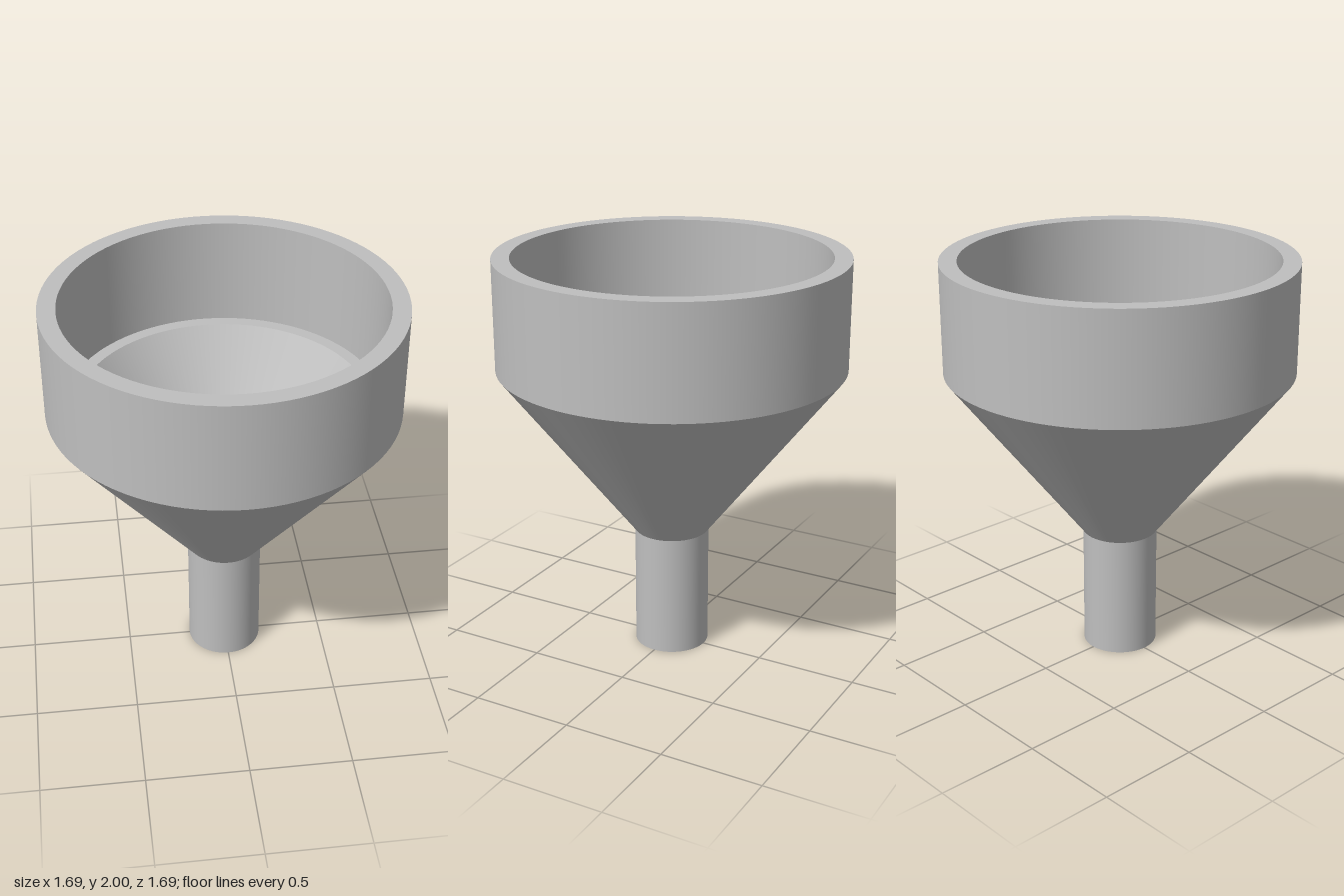
import * as THREE from 'three';

export function createModel() {
  const model = new THREE.Group();
  model.name = 'funnel';

  const greyPlastic = new THREE.MeshStandardMaterial({ color: 0xbfbfbf });
  greyPlastic.name = 'grey plastic';

  // Levels where the spout meets the cone and the cone meets the cup
  const neckY = 0.613, cupY = 1.463, topY = 2;
  // Outer and bore radii
  const cupR = 0.843, cupBoreR = 0.757, coneBoreR = 0.695;
  const spoutR = 0.183, spoutBoreR = 0.098;

  // One surface of revolution between two [radius, height] points; separate surfaces keep edges sharp
  function addBand(name, from, to) {
    const profile = [new THREE.Vector2(...from), new THREE.Vector2(...to)];
    const mesh = new THREE.Mesh(new THREE.LatheGeometry(profile, 96), greyPlastic);
    mesh.name = name;
    model.add(mesh);
  }

  // Outside, from the spout tip up to the rim
  addBand('spoutTip', [spoutBoreR, 0], [spoutR, 0]);
  addBand('spoutOuterWall', [spoutR, 0], [spoutR, neckY]);
  addBand('coneOuterWall', [spoutR, neckY], [cupR, cupY]);
  addBand('cupOuterWall', [cupR, cupY], [cupR, topY]);
  addBand('cupRim', [cupR, topY], [cupBoreR, topY]);

  // Inside, from the rim down through the bore
  addBand('cupInnerWall', [cupBoreR, topY], [cupBoreR, cupY]);
  addBand('innerLedge', [cupBoreR, cupY], [coneBoreR, cupY]);
  addBand('coneInnerWall', [coneBoreR, cupY], [spoutBoreR, neckY]);
  addBand('spoutBore', [spoutBoreR, neckY], [spoutBoreR, 0]);

  return model;
}
